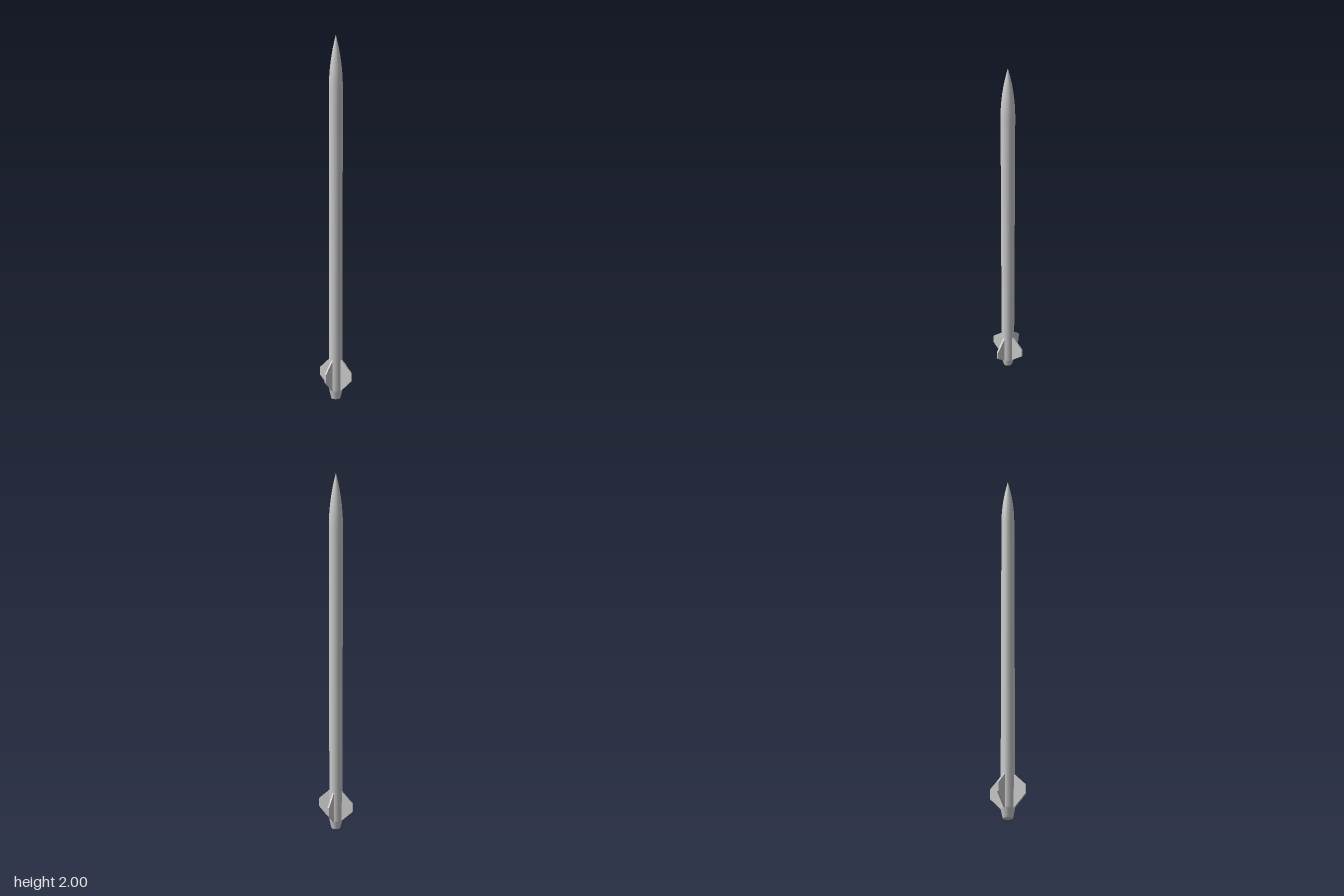
import * as THREE from 'three';

const R = 0.037;          // body radius
const SEGMENTS = 32;
const NOSE_BASE = 1.72;
const TAIL_TOP = 0.05;

export function createModel() {
  const group = new THREE.Group();
  const material = new THREE.MeshStandardMaterial({ color: 0xcccccc });

  const add = (geometry, name, parent = group) => {
    const mesh = new THREE.Mesh(geometry, material);
    mesh.name = name;
    parent.add(mesh);
    return mesh;
  };

  // Long straight body tube
  const body = new THREE.CylinderGeometry(R, R, NOSE_BASE - TAIL_TOP, SEGMENTS, 1, true);
  add(body, 'bodyTube').position.y = (NOSE_BASE + TAIL_TOP) / 2;

  // Tangent ogive nose, from base to tip
  const length = 2 - NOSE_BASE;
  const rho = (R * R + length * length) / (2 * R);
  const profile = [];
  for (let i = 0; i <= 16; i++) {
    const h = (length * i) / 16;
    const r = Math.sqrt(rho * rho - h * h) + R - rho;
    profile.push(new THREE.Vector2(Math.max(r, 0), NOSE_BASE + h));
  }
  add(new THREE.LatheGeometry(profile, SEGMENTS), 'noseCone');

  // Tapered tail with a closed base
  add(new THREE.CylinderGeometry(R, 0.026, TAIL_TOP, SEGMENTS), 'tailCone').position.y = TAIL_TOP / 2;

  // Flat plate cut from an outline and centred on its thickness
  const plate = (points, thickness) => {
    const shape = new THREE.Shape(points.map(([x, y]) => new THREE.Vector2(x, y)));
    return new THREE.ExtrudeGeometry(shape, { depth: thickness, bevelEnabled: false })
      .translate(0, 0, -thickness / 2);
  };
  const finGeometry = plate(
    [[0.03, 0.05], [0.038, 0.05], [0.103, 0.115], [0.103, 0.163], [0.038, 0.226], [0.03, 0.226]], 0.009);
  const rootGeometry = plate(
    [[0.03, 0.05], [0.038, 0.05], [0.038, 0.226], [0.03, 0.226]], 0.014);

  // Four fins with narrow root strips, a quarter turn apart
  for (let i = 0; i < 4; i++) {
    const fin = new THREE.Group();
    fin.name = `fin${i + 1}`;
    add(finGeometry, 'finPlate', fin);
    add(rootGeometry, 'finRoot', fin);
    fin.rotation.y = (i * Math.PI) / 2;
    group.add(fin);
  }

  return group;
}
